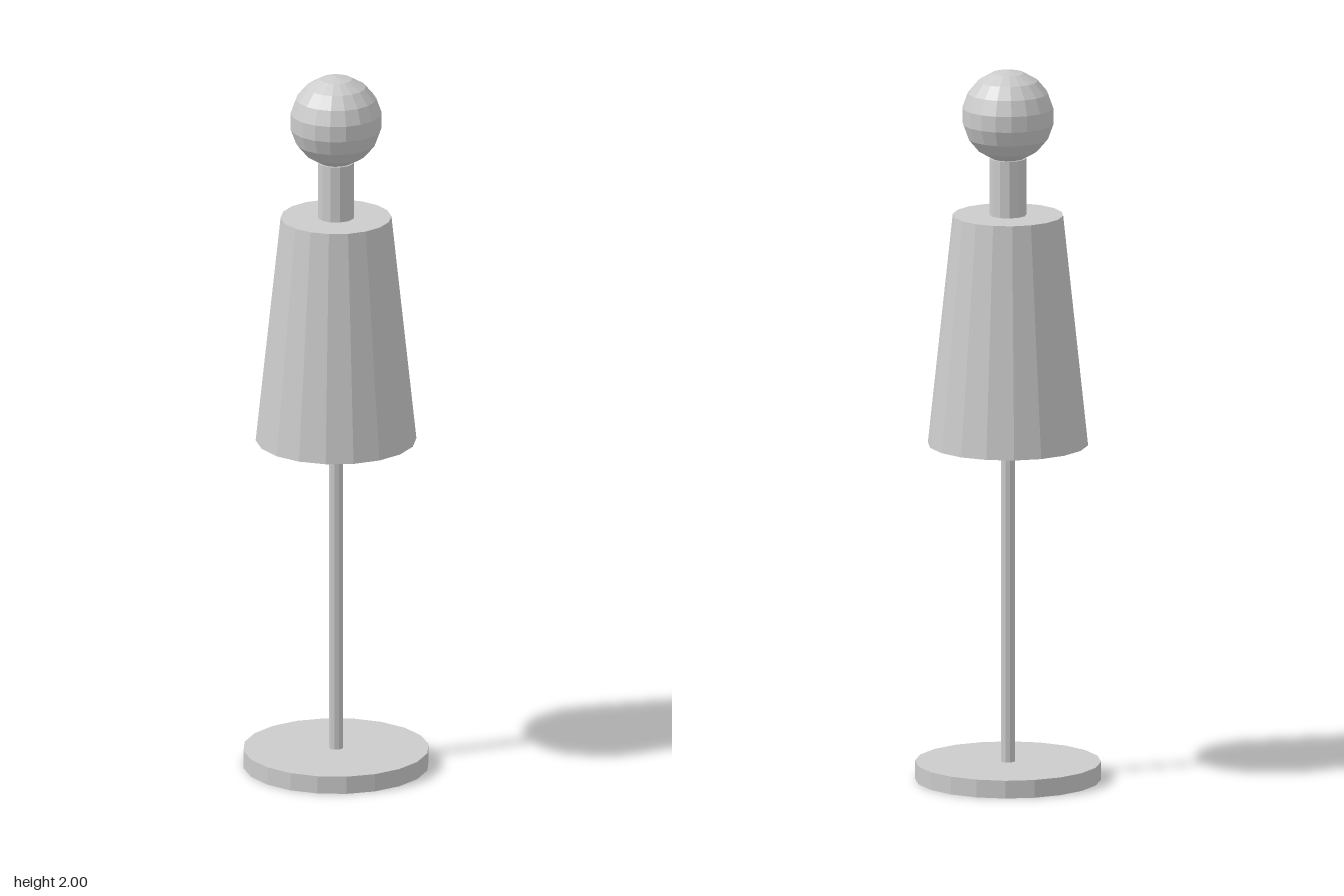
import * as THREE from 'three';

export function createModel() {
  const group = new THREE.Group();
  const material = new THREE.MeshStandardMaterial({ color: 0xcccccc, flatShading: true });

  const add = (name, geometry, y) => {
    const mesh = new THREE.Mesh(geometry, material);
    mesh.name = name;
    mesh.position.y = y;
    group.add(mesh);
  };

  // Upright faceted cylinder or cone between two heights
  const column = (name, rTop, rBottom, y0, y1, sides) =>
    add(name, new THREE.CylinderGeometry(rTop, rBottom, y1 - y0, sides), (y0 + y1) / 2);

  column('base', 0.257, 0.257, 0, 0.05, 20);
  column('pole', 0.02, 0.02, 0.05, 0.914, 10);
  // The tapered body floats just above the pole
  column('body', 0.153, 0.222, 0.946, 1.592, 18);
  column('neck', 0.051, 0.051, 1.592, 1.752, 12);

  // Ball head, turned so that a vertex faces the front
  add('head', new THREE.SphereGeometry(0.128, 18, 9).rotateY(Math.PI / 2), 1.872);

  return group;
}
